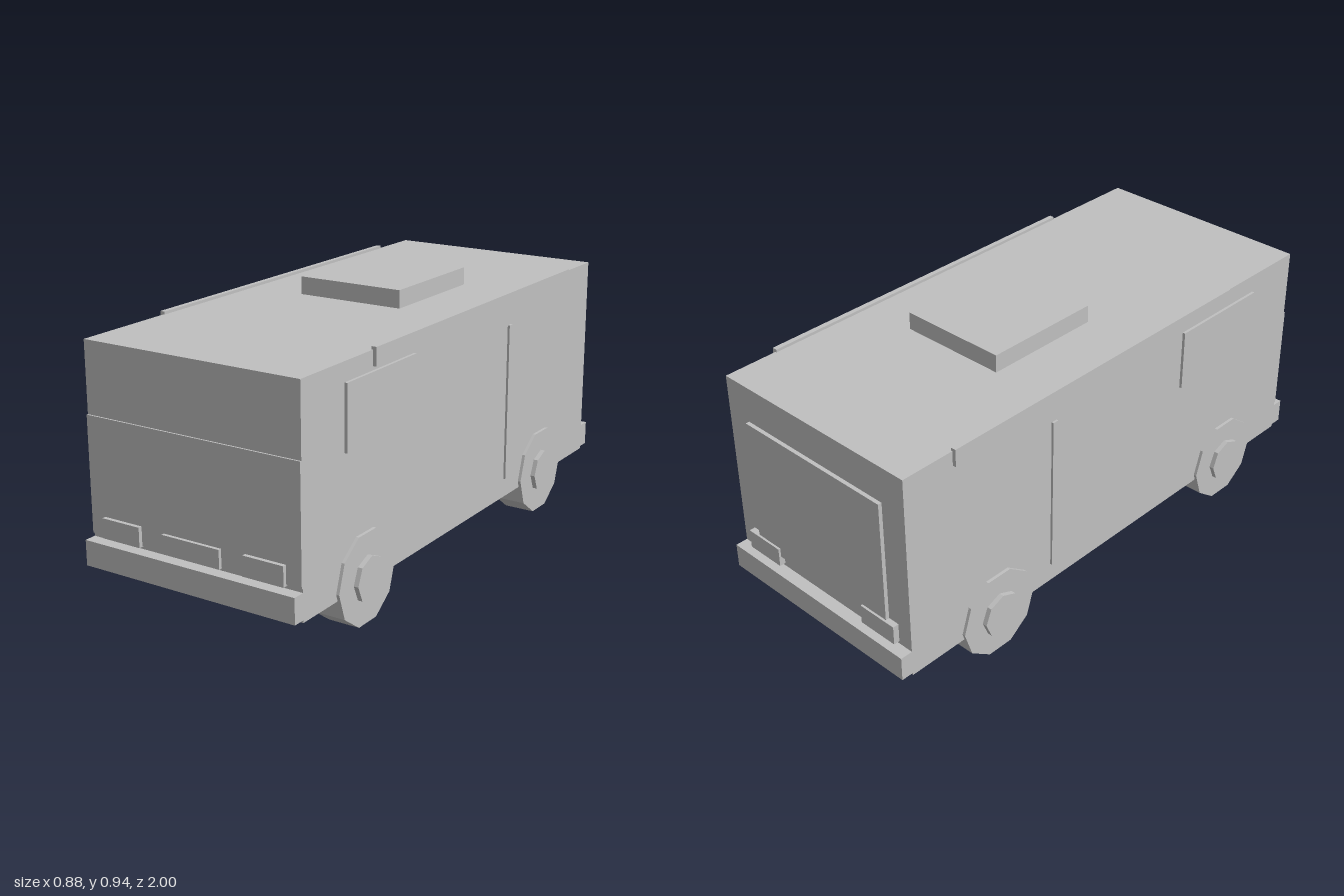
import * as THREE from 'three';

export function createModel() {
  const van = new THREE.Group();
  van.name = 'boxVan';
  const grey = new THREE.MeshStandardMaterial({ color: 0xc0c0c0, flatShading: true });
  grey.name = 'plain grey';

  // Box given by its extents along each axis
  const box = (name, [x0, x1], [y0, y1], [z0, z1]) => {
    const mesh = new THREE.Mesh(new THREE.BoxGeometry(x1 - x0, y1 - y0, z1 - z0), grey);
    mesh.position.set((x0 + x1) / 2, (y0 + y1) / 2, (z0 + z1) / 2);
    mesh.name = name;
    van.add(mesh);
  };

  // The same box on the left and the right
  const pair = (name, [x0, x1], y, z) => {
    box(name + 'Left', [x0, x1], y, z);
    box(name + 'Right', [-x1, -x0], y, z);
  };

  // Disc on the x axis, with a corner pointing forward
  const disc = (name, radius, sides, x0, x1, y, z) => {
    const mesh = new THREE.Mesh(new THREE.CylinderGeometry(radius, radius, Math.abs(x1 - x0), sides), grey);
    mesh.rotation.z = Math.PI / 2;
    mesh.position.set((x0 + x1) / 2, y, z);
    mesh.name = name;
    van.add(mesh);
  };

  // Body and roof hatch
  box('body', [-0.41, 0.41], [0.128, 0.88], [-0.955, 0.957]);
  box('roofHatch', [-0.2, 0.2], [0.87, 0.943], [-0.355, 0.085]);

  // Front: lower panel, bumper, lights and plate
  box('frontPanel', [-0.41, 0.41], [0.238, 0.636], [0.95, 0.963]);
  box('frontBumper', [-0.41, 0.41], [0.137, 0.225], [0.95, 1]);
  pair('headlight', [0.203, 0.354], [0.235, 0.304], [0.95, 0.977]);
  box('numberPlate', [-0.112, 0.112], [0.235, 0.3], [0.95, 0.975]);

  // Back: door, bumper and lights
  box('rearDoor', [-0.312, 0.312], [0.27, 0.75], [-0.969, -0.95]);
  box('rearBumper', [-0.41, 0.41], [0.137, 0.225], [-1, -0.95]);
  pair('tailLight', [0.203, 0.354], [0.235, 0.304], [-0.977, -0.95]);

  // Sides: awning rails, windows and door trim
  pair('awningRail', [0.405, 0.423], [0.828, 0.89], [-0.755, 0.577]);
  pair('sideWindow', [0.405, 0.42], [0.595, 0.815], [0.337, 0.733]);
  pair('doorTrim', [0.405, 0.418], [0.198, 0.77], [-0.322, -0.3]);

  // Wheels with hubs
  for (const z of [0.623, -0.577]) {
    for (const side of [1, -1]) {
      disc('wheel', 0.16, 10, side * 0.308, side * 0.421, 0.153, z);
      disc('hub', 0.079, 8, side * 0.4, side * 0.438, 0.153, z);
    }
  }
  return van;
}
